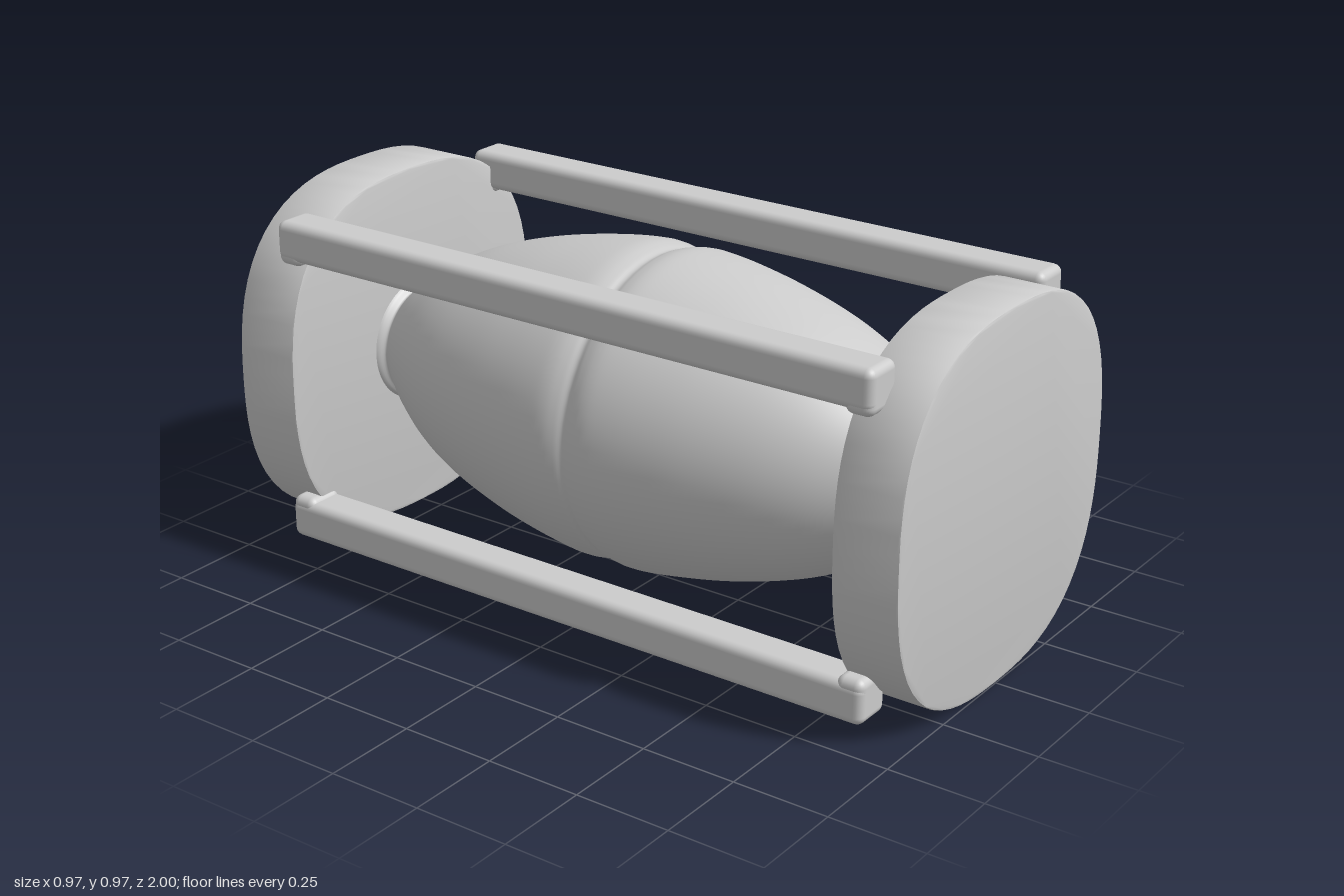
import * as THREE from 'three';
import { RoundedBoxGeometry } from 'three/addons/geometries/RoundedBoxGeometry.js';
import { toCreasedNormals } from 'three/addons/utils/BufferGeometryUtils.js';

const CENTER_Y = 0.483;

// Softly squared round outline for the end caps
function squircle(radius, power, count) {
  const points = [];
  for (let i = 0; i < count; i++) {
    const a = (i / count) * Math.PI * 2;
    const c = Math.cos(a), s = Math.sin(a);
    const r = radius / Math.pow(Math.abs(c) ** power + Math.abs(s) ** power, 1 / power);
    points.push(new THREE.Vector2(r * c, r * s));
  }
  return new THREE.Shape(points);
}

export function createModel() {
  const group = new THREE.Group();
  const material = new THREE.MeshStandardMaterial({ color: 0xcccccc });

  function add(name, geometry, x, y, z) {
    const mesh = new THREE.Mesh(geometry, material);
    mesh.name = name;
    mesh.position.set(x, y, z);
    group.add(mesh);
    return mesh;
  }

  // End caps: thick squared discs with a tiny rounded rim
  function cap(name, z0, z1) {
    const bevel = 0.006;
    const geometry = new THREE.ExtrudeGeometry(squircle(0.483, 2.6, 72), {
      depth: z1 - z0 - 2 * bevel,
      bevelEnabled: true, bevelThickness: bevel, bevelSize: bevel, bevelOffset: -bevel, bevelSegments: 2,
    });
    add(name, toCreasedNormals(geometry, 0.6), 0, CENTER_Y, z0 + bevel);
  }
  cap('frontCap', 0.825, 1);
  cap('backCap', -1, -0.815);

  // Bulb: two swelling halves meeting in a shallow waist groove, flared necks
  const half = [
    [0.175, 0.83], [0.163, 0.81], [0.148, 0.795], [0.165, 0.775], [0.215, 0.71],
    [0.272, 0.62], [0.315, 0.53], [0.35, 0.43], [0.382, 0.31], [0.405, 0.19],
    [0.417, 0.1], [0.418, 0.055], [0.411, 0.022],
  ];
  const profile = [
    ...half.map(([r, z]) => new THREE.Vector2(r, -z)),
    new THREE.Vector2(0.403, 0),
    ...half.map(([r, z]) => new THREE.Vector2(r, z)).reverse(),
  ];
  const smooth = new THREE.SplineCurve(profile).getPoints(120);
  const bulb = add('bulb', new THREE.LatheGeometry(smooth, 64), 0, CENTER_Y, 0);
  bulb.rotation.x = Math.PI / 2;

  // Four corner rods, each with slightly deeper feet gripping the caps
  for (const sx of [-1, 1]) {
    for (const sy of [-1, 1]) {
      const x = sx < 0 ? -0.394 : 0.383;
      const y = CENTER_Y + sy * 0.388;
      const rod = new THREE.Group();
      rod.name = (sy > 0 ? 'upper' : 'lower') + (sx > 0 ? 'Left' : 'Right') + 'Rod';
      const bar = new THREE.Mesh(new RoundedBoxGeometry(0.112, 0.104, 1.775, 3, 0.022), material);
      bar.name = 'rodBar';
      rod.add(bar);
      for (const sz of [-1, 1]) {
        const foot = new THREE.Mesh(new RoundedBoxGeometry(0.108, 0.1, 0.075, 3, 0.022), material);
        foot.name = 'rodFoot';
        foot.position.set(0, -sy * 0.014, sz * 0.85);
        rod.add(foot);
      }
      rod.position.set(x, y, 0.007);
      group.add(rod);
    }
  }

  return group;
}
